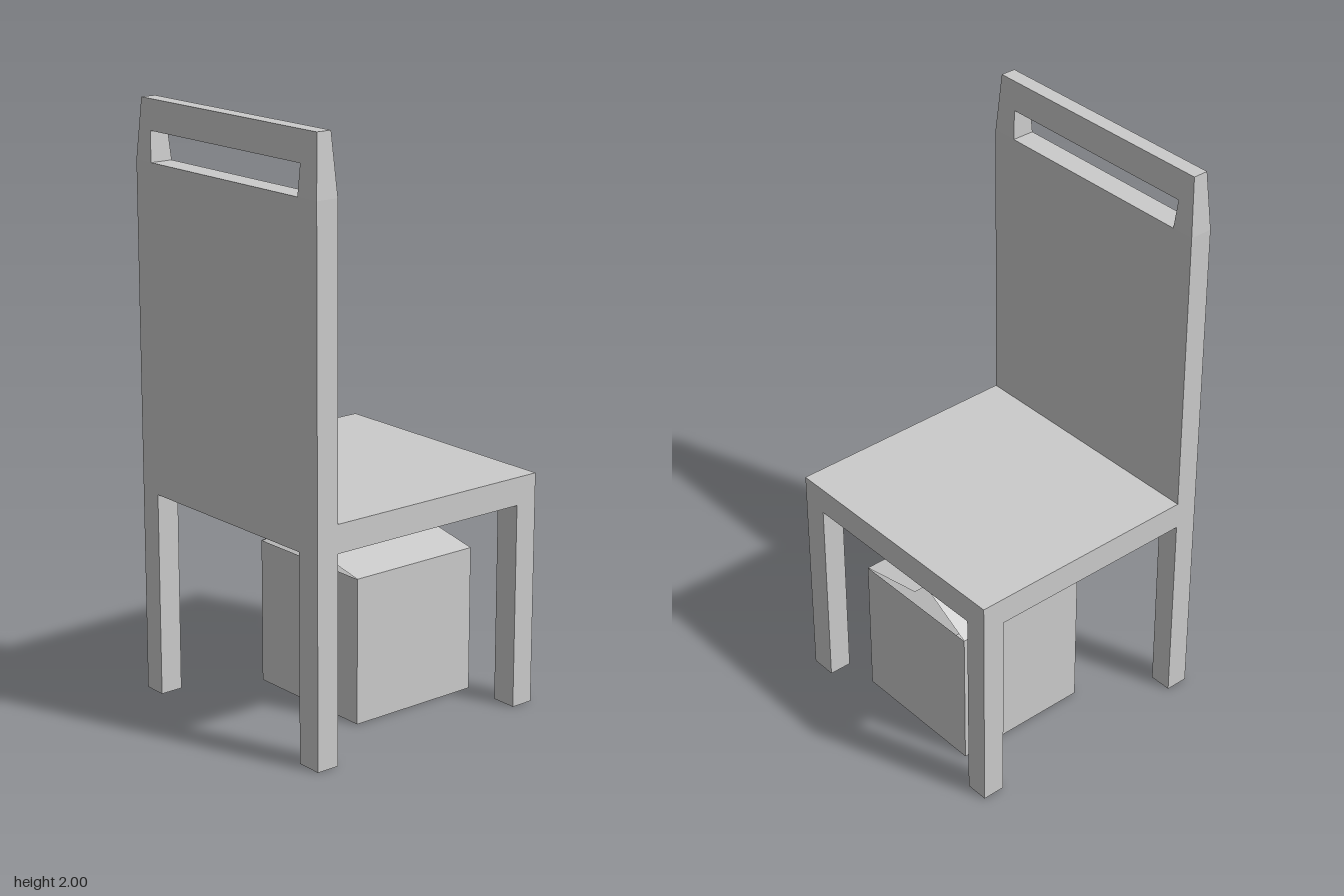
import * as THREE from 'three';

const grey = new THREE.MeshStandardMaterial({ color: 0xcccccc, flatShading: true });
const thin = new THREE.MeshStandardMaterial({ color: 0xcccccc, flatShading: true, side: THREE.DoubleSide });

function add(parent, name, geometry, material = grey) {
  const mesh = new THREE.Mesh(geometry, material);
  mesh.name = name;
  parent.add(mesh);
  return mesh;
}

// Box given by its lower and upper corners
function block(x0, y0, z0, x1, y1, z1) {
  return new THREE.BoxGeometry(x1 - x0, y1 - y0, z1 - z0)
    .translate((x0 + x1) / 2, (y0 + y1) / 2, (z0 + z1) / 2);
}

// Outline in x and y, extruded over the thickness of the chair back
function backSlab(points) {
  const shape = new THREE.Shape(points.map(([x, y]) => new THREE.Vector2(x, y)));
  return new THREE.ExtrudeGeometry(shape, { depth: 0.08, bevelEnabled: false }).translate(0, 0, 0.375);
}

export function createModel() {
  const model = new THREE.Group();
  const chair = new THREE.Group();
  chair.name = 'chair';
  const carton = new THREE.Group();
  carton.name = 'carton';
  model.add(chair, carton);

  // Seat and the two free-standing legs
  add(chair, 'seat', block(-0.455, 0.7, -0.455, 0.455, 0.795, 0.375));
  add(chair, 'rightLeg', block(-0.455, 0, -0.455, -0.375, 0.7, -0.375));
  add(chair, 'leftLeg', block(0.365, 0, -0.455, 0.455, 0.7, -0.375));

  // Backrest panel in one piece with its legs
  add(chair, 'backrest', backSlab([
    [-0.455, 0], [-0.375, 0], [-0.375, 0.7], [0.365, 0.7],
    [0.365, 0], [0.455, 0], [0.455, 1.8], [-0.455, 1.8],
  ]));

  // Head rail over the hand slot, thinning towards the top
  const rail = backSlab([
    [-0.455, 1.8], [-0.375, 1.8], [-0.385, 1.9], [0.37, 1.9],
    [0.365, 1.8], [0.455, 1.8], [0.44, 2], [-0.44, 2],
  ]);
  const pos = rail.attributes.position;
  for (let i = 0; i < pos.count; i++) {
    const t = (pos.getY(i) - 1.8) / 0.2;
    pos.setZ(i, 0.415 + (pos.getZ(i) - 0.415) * (1 - 0.34 * t));
  }
  rail.computeVertexNormals();
  add(chair, 'headRail', rail);

  // Open-topped carton: a box without its upper face
  const body = new THREE.BoxGeometry(0.5, 0.5, 0.49);
  body.setIndex(Array.from(body.index.array).filter((_, i) => i < 12 || i >= 18));
  body.clearGroups();
  add(carton, 'cartonBody', body, thin).position.y = 0.25;

  // Two flaps leaning inward over the opening
  for (const [name, side, rise] of [['leftFlap', 1, 0.05], ['rightFlap', -1, 0.14]]) {
    const length = Math.hypot(0.25, rise);
    const flap = add(carton, name,
      new THREE.PlaneGeometry(length, 0.49).rotateX(-Math.PI / 2).translate(-side * length / 2, 0, 0), thin);
    flap.position.set(side * 0.25, 0.5, 0);
    flap.rotation.z = -side * Math.atan2(rise, 0.25);
  }
  carton.position.set(-0.01, 0, -0.128);

  return model;
}
